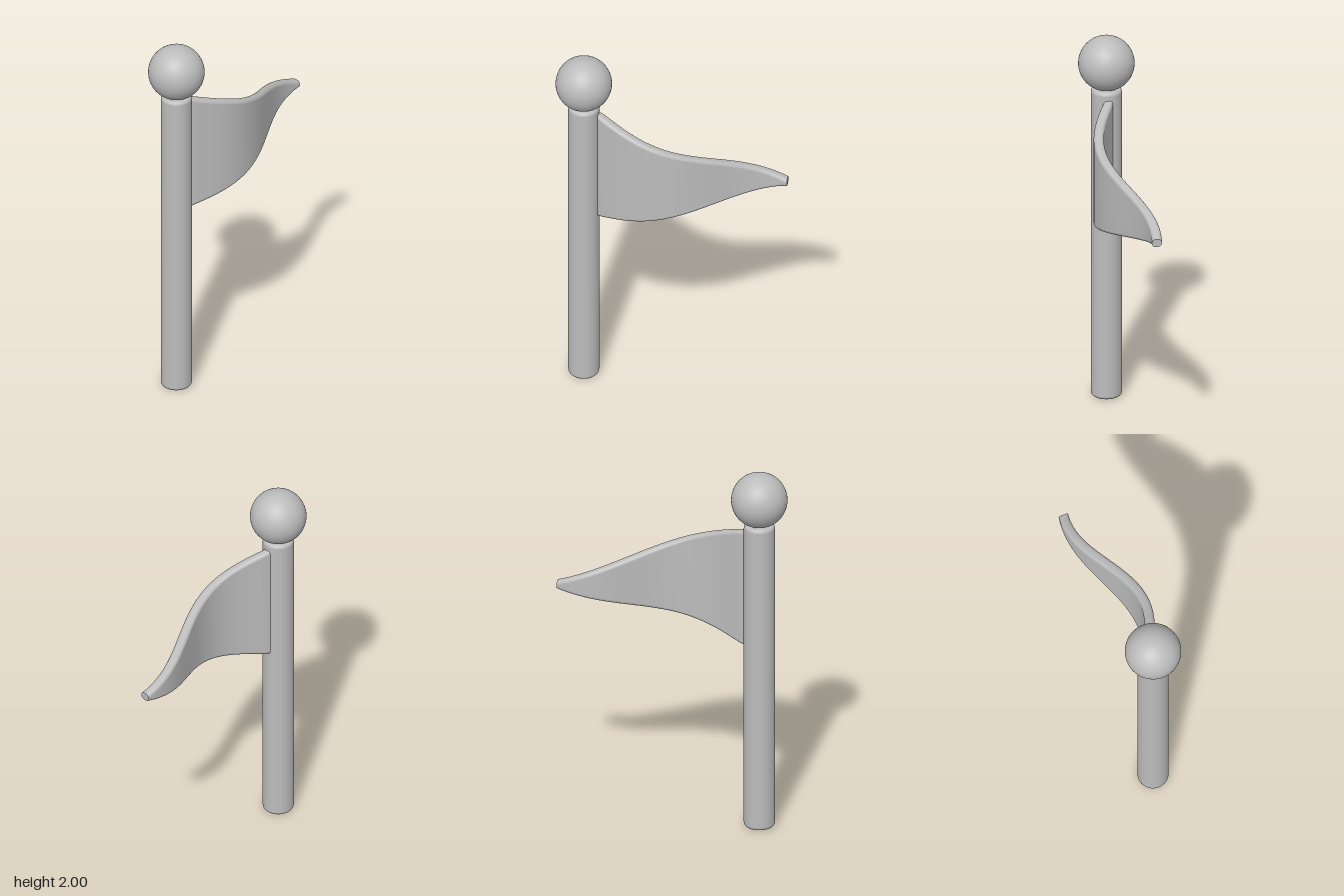
import * as THREE from 'three';

const POLE_X = -0.45;

// Closed outline of a rounded strip: [across thickness, along height]
function roundedOutline(halfT, halfH) {
  const r = Math.min(0.02, halfH * 0.9);
  const corners = [[1, 1, 0], [-1, 1, 1], [-1, -1, 2], [1, -1, 3]];
  const pts = [];
  for (const [sx, sy, q] of corners) {
    for (let i = 0; i <= 5; i++) {
      const a = (q + i / 5) * Math.PI / 2;
      pts.push([sx * (halfT - r) + r * Math.cos(a), sy * (halfH - r) + r * Math.sin(a)]);
    }
  }
  return pts;
}

// Waving pennant: rounded sections swept along a sine wave, tapering to the tip
function pennantGeometry() {
  const x0 = -0.375, x1 = 0.595, steps = 48, amp = 0.097, k = Math.PI * 2 / 1.22;
  const pos = [], index = [];
  let n = 0;
  for (let s = 0; s <= steps; s++) {
    const t = s / steps, x = x0 + (x1 - x0) * t;
    const z = amp * Math.sin(k * (x + 0.38)) - 0.002;
    const slope = amp * k * Math.cos(k * (x + 0.38));
    const len = Math.hypot(1, slope);
    const top = THREE.MathUtils.lerp(1.677, 1.312, t);
    const bottom = THREE.MathUtils.lerp(1.022, 1.27, t);
    const outline = roundedOutline(0.026, (top - bottom) / 2);
    n = outline.length;
    for (const [w, h] of outline) {
      // keep both ends cut square to x
      const dx = s === 0 || s === steps ? 0 : -slope / len * w;
      pos.push(x + dx, (top + bottom) / 2 + h, z + w / len);
    }
  }
  for (let s = 0; s < steps; s++) {
    for (let i = 0; i < n; i++) {
      const a = s * n + i, b = s * n + (i + 1) % n;
      index.push(a, a + n, b, b, a + n, b + n);
    }
  }
  // Flat end caps with their own vertices
  for (const [ring, flip] of [[0, false], [steps, true]]) {
    const base = pos.length / 3;
    for (let i = 0; i < n * 3; i++) pos.push(pos[ring * n * 3 + i]);
    for (let i = 1; i < n - 1; i++) {
      if (flip) index.push(base, base + i + 1, base + i);
      else index.push(base, base + i, base + i + 1);
    }
  }
  const g = new THREE.BufferGeometry();
  g.setAttribute('position', new THREE.Float32BufferAttribute(pos, 3));
  g.setIndex(index);
  g.computeVertexNormals();
  return g;
}

// Pole profile with softly rounded rims
function poleGeometry() {
  const r = 0.08, h = 1.717, b = 0.02;
  const p = [new THREE.Vector2(0, 0)];
  for (let i = 0; i <= 5; i++) {
    const a = i / 5 * Math.PI / 2;
    p.push(new THREE.Vector2(r - b + b * Math.sin(a), b - b * Math.cos(a)));
  }
  for (let i = 0; i <= 5; i++) {
    const a = i / 5 * Math.PI / 2;
    p.push(new THREE.Vector2(r - b + b * Math.cos(a), h - b + b * Math.sin(a)));
  }
  p.push(new THREE.Vector2(0, h));
  return new THREE.LatheGeometry(p, 40);
}

export function createModel() {
  const group = new THREE.Group();
  group.name = 'pennantFlag';
  const grey = new THREE.MeshStandardMaterial({ color: 0xbcbcbc });
  grey.name = 'lightGrey';

  const add = (name, geometry, x = 0, y = 0) => {
    const mesh = new THREE.Mesh(geometry, grey);
    mesh.name = name;
    mesh.position.set(x, y, 0);
    group.add(mesh);
  };

  add('pole', poleGeometry(), POLE_X);
  add('ballFinial', new THREE.SphereGeometry(0.145, 48, 32), POLE_X, 1.855);
  add('pennant', pennantGeometry());
  return group;
}
